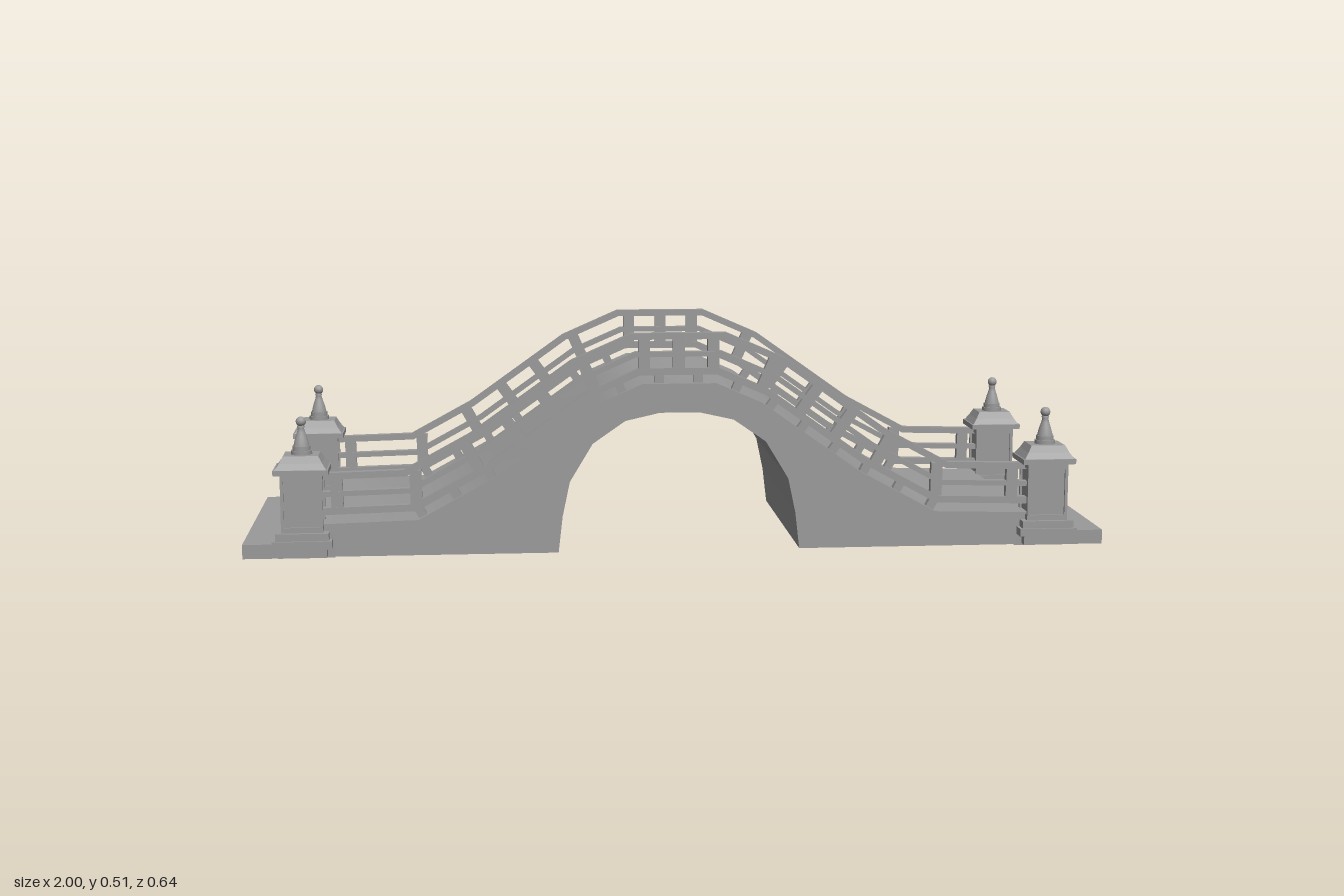
import * as THREE from 'three';

const Z0 = -0.2995, Z1 = 0.2845;
const stone = { color: 0x9a9a9a };
const grey = new THREE.MeshStandardMaterial(stone);
const flat = new THREE.MeshStandardMaterial({ ...stone, flatShading: true });
const sheet = new THREE.MeshStandardMaterial({ ...stone, side: THREE.DoubleSide });
const flatSheet = new THREE.MeshStandardMaterial({ ...stone, side: THREE.DoubleSide, flatShading: true });

// Right half of a symmetric polyline, centre outwards
const deckHalf = [[0.085, 0.395], [0.19, 0.349], [0.42, 0.185], [0.6, 0.087], [0.82, 0.081]];
const archHalf = [[0.045, 0.328], [0.125, 0.31], [0.2, 0.258], [0.253, 0.17], [0.27, 0.09], [0.28, 0.005]];
const mirrorLine = half => [
  ...half.map(([x, y]) => new THREE.Vector2(-x, y)).reverse(),
  ...half.map(([x, y]) => new THREE.Vector2(x, y)),
];
const deck = mirrorLine(deckHalf), arch = mirrorLine(archHalf);

function add(parent, name, geo, mat, x = 0, y = 0, z = 0) {
  const m = new THREE.Mesh(geo, mat);
  m.name = name;
  m.position.set(x, y, z);
  parent.add(m);
  return m;
}

// Surface swept across the bridge from a polyline
function strip(line) {
  const pos = [], idx = [];
  line.forEach((p, i) => {
    pos.push(p.x, p.y, Z1, p.x, p.y, Z0);
    if (i) {
      const a = 2 * i - 2;
      idx.push(a, a + 2, a + 1, a + 2, a + 3, a + 1);
    }
  });
  const g = new THREE.BufferGeometry();
  g.setAttribute('position', new THREE.Float32BufferAttribute(pos, 3));
  g.setIndex(idx);
  g.computeVertexNormals();
  return g;
}

// Polyline moved outwards by d, with mitred corners
function offset(line, d) {
  const normal = i => {
    const t = line[i + 1].clone().sub(line[i]).normalize();
    return new THREE.Vector2(-t.y, t.x);
  };
  return line.map((p, i) => {
    const a = normal(Math.max(i - 1, 0)), b = normal(Math.min(i, line.length - 2));
    const n = a.clone().add(b).normalize();
    return p.clone().addScaledVector(n, d / n.dot(a));
  });
}

// Point and slope at a distance along the deck from its crown
function along(s) {
  const side = s < 0 ? -1 : 1;
  let left = Math.abs(s), a = [0, 0.395];
  for (const b of deckHalf) {
    const len = Math.hypot(b[0] - a[0], b[1] - a[1]);
    if (left <= len || b === deckHalf[deckHalf.length - 1]) {
      const t = left / len;
      return {
        x: side * (a[0] + (b[0] - a[0]) * t),
        y: a[1] + (b[1] - a[1]) * t,
        angle: side * Math.atan2(b[1] - a[1], b[0] - a[0]),
      };
    }
    left -= len;
    a = b;
  }
}

function makeRailing(footShift) {
  const g = new THREE.Group();
  g.name = 'railing';
  const depth = 0.02;
  // Long rails: bottom, middle and top
  [['bottomRail', 0.018, 0.034], ['middleRail', 0.06, 0.072], ['topRail', 0.1, 0.115]].forEach(([name, lo, hi]) => {
    const shape = new THREE.Shape([...offset(deck, lo), ...offset(deck, hi).reverse()]);
    const geo = new THREE.ExtrudeGeometry(shape, { depth, bevelEnabled: false });
    add(g, name, geo, grey, 0, 0, -depth / 2);
  });
  // Upright standing square to the slope
  const upright = (name, s, w, lo, hi, dz, zOff) => {
    const p = along(s), mid = (lo + hi) / 2;
    const m = add(g, name, new THREE.BoxGeometry(w, hi - lo, dz), grey,
      p.x - Math.sin(p.angle) * mid, p.y + Math.cos(p.angle) * mid, zOff);
    m.rotation.z = p.angle;
  };
  [0, 0.08, 0.19, 0.29, 0.39, 0.51, 0.69, 0.87].forEach(s =>
    (s ? [s, -s] : [s]).forEach(v => upright('baluster', v, 0.027, 0.02, 0.112, 0.017, 0)));
  // Small feet between the deck and the bottom rail
  for (let i = 0; i < 8; i++)
    [-1, 1].forEach(k => upright('railFoot', k * (0.045 + i * 0.09), 0.02, -0.008, 0.022, 0.018, footShift));
  return g;
}

// Square frustum
function taper(top, bottom, h) {
  const g = new THREE.CylinderGeometry(top * Math.SQRT1_2, bottom * Math.SQRT1_2, h, 4);
  return g.rotateY(Math.PI / 4);
}

// Rectangular frame around a sunken panel, facing +z
function frame(w) {
  const rect = (S, hw, y0, y1) => new S([[-hw, y0], [hw, y0], [hw, y1], [-hw, y1]].map(p => new THREE.Vector2(...p)));
  const s = rect(THREE.Shape, w / 2, 0.065, 0.2);
  s.holes.push(rect(THREE.Path, w / 2 - 0.007, 0.077, 0.185));
  return new THREE.ExtrudeGeometry(s, { depth: 0.006, bevelEnabled: false });
}

function makePillar() {
  const g = new THREE.Group();
  g.name = 'pillar';
  const slab = (name, w, y0, y1) =>
    add(g, name, new THREE.BoxGeometry(w * 1.17, y1 - y0, w), grey, 0, (y0 + y1) / 2, 0);
  slab('footing', 0.094, 0.008, 0.03);
  slab('plinth', 0.115, 0.03, 0.048);
  slab('plinthStep', 0.103, 0.048, 0.065);
  slab('capSlab', 0.106, 0.199, 0.211);
  // Shaft with a sunken panel on each face
  const wx = 0.095, wz = 0.081;
  add(g, 'shaft', new THREE.BoxGeometry(wx - 0.011, 0.135, wz - 0.011), grey, 0, 0.1325, 0);
  [0, 1, 2, 3].forEach(i => {
    const turn = new THREE.Group();
    turn.name = 'shaftFace';
    turn.rotation.y = i * Math.PI / 2;
    add(turn, 'panelFrame', frame(i % 2 ? wz : wx), grey, 0, 0, (i % 2 ? wx : wz) / 2 - 0.006);
    g.add(turn);
  });
  // Flared roof of the cap
  [['capFlare', 0.083, 0.1, 0.211, 0.225], ['capRoof', 0.068, 0.083, 0.225, 0.241]].forEach(([name, t, b, y0, y1]) => {
    add(g, name, taper(t, b, y1 - y0), flat, 0, (y0 + y1) / 2, 0).scale.x = 1.17;
  });
  // Turned finial: two discs, a bell and a ball
  [[0.024, 0.24, 0.25], [0.0205, 0.25, 0.26]].forEach(([r, y0, y1]) =>
    add(g, 'finialDisc', new THREE.CylinderGeometry(r, r, y1 - y0, 18), grey, 0, (y0 + y1) / 2, 0));
  const bell = [[0.018, 0.26], [0.0165, 0.268], [0.013, 0.28], [0.009, 0.292], [0.007, 0.3], [0.009, 0.304], [0.006, 0.308]];
  add(g, 'finialBell', new THREE.LatheGeometry(bell.map(p => new THREE.Vector2(...p)), 18), sheet);
  add(g, 'finialBall', new THREE.SphereGeometry(0.0115, 14, 10), grey, 0, 0.3155, 0);
  return g;
}

export function createModel() {
  const model = new THREE.Group();
  model.name = 'archBridge';

  // Hollow body: walking surface, vault and two side walls
  add(model, 'deck', strip(deck), sheet);
  add(model, 'archVault', strip(arch), flatSheet);
  const wall = new THREE.Shape([
    ...deck,
    new THREE.Vector2(0.79, 0.005),
    ...arch.slice().reverse(),
    new THREE.Vector2(-0.79, 0.005),
  ]);
  [Z0, Z1].forEach(z => add(model, 'sideWall', new THREE.ShapeGeometry(wall), sheet, 0, 0, z));

  // Steps at both ends
  const width = Z1 - Z0, zc = (Z0 + Z1) / 2;
  [-1, 1].forEach(k => {
    const step = (name, x0, x1, y0, y1) =>
      add(model, name, new THREE.BoxGeometry(x1 - x0, y1 - y0, width), grey, k * (x0 + x1) / 2, (y0 + y1) / 2, zc);
    step('lowerStep', 0.79, 1, 0.003, 0.036);
    step('middleStep', 0.79, 0.912, 0.036, 0.058);
    step('upperStep', 0.79, 0.82, 0.058, 0.081);
  });

  // Railings and corner pillars
  [[-0.2655, 0.0025], [0.26, 0]].forEach(([z, footShift]) => {
    const r = makeRailing(footShift);
    r.position.z = z;
    model.add(r);
  });
  [-1, 1].forEach(kx => [-1, 1].forEach(kz => {
    const p = makePillar();
    p.position.set(kx * 0.862, 0, kz * 0.2625);
    model.add(p);
  }));
  return model;
}
